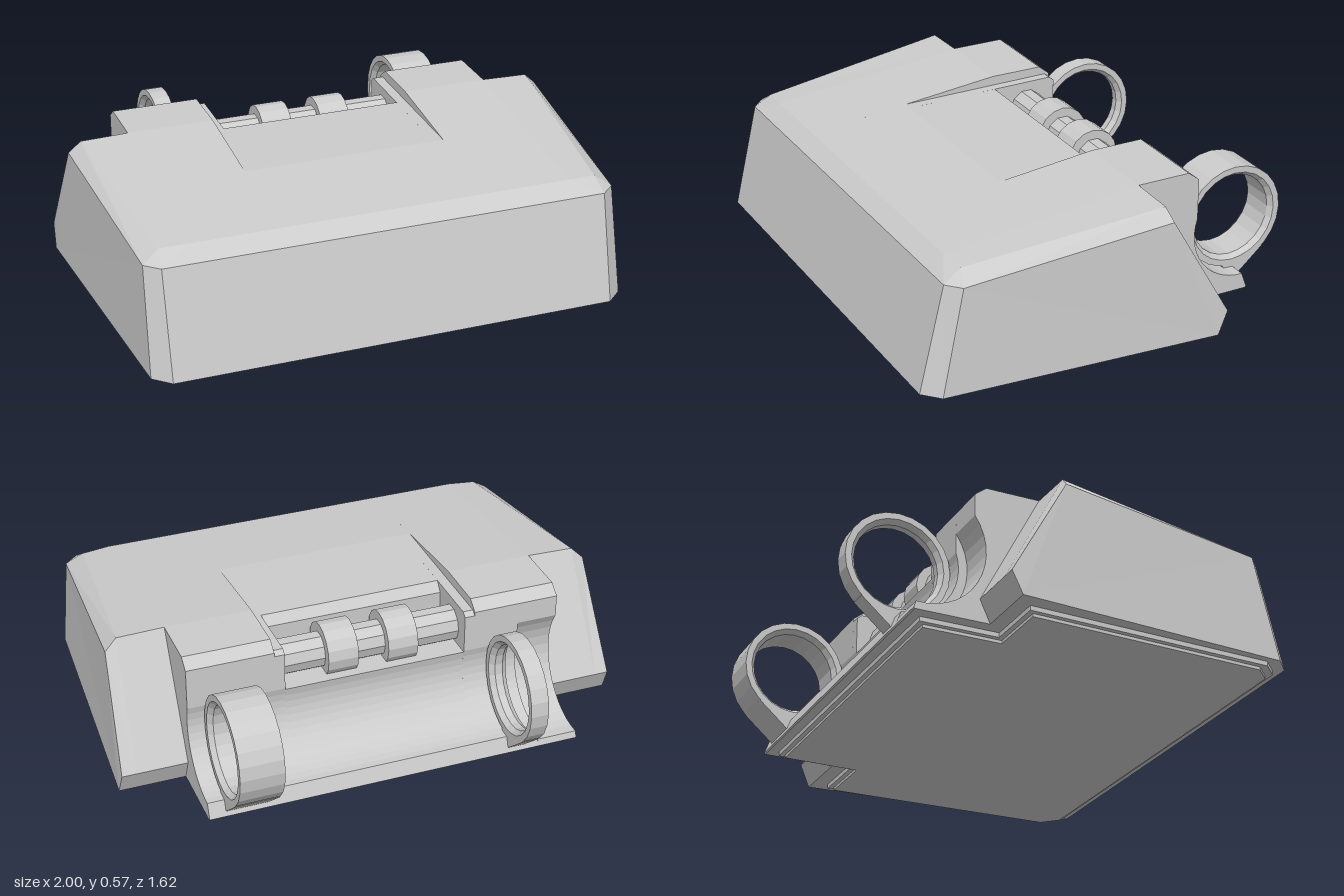
import * as THREE from 'three';

const RING = { y: 0.31, z: -0.605 };

export function createModel() {
  const model = new THREE.Group();
  const material = new THREE.MeshStandardMaterial({ color: 0xcccccc, flatShading: true });

  const add = (name, geometry) => {
    const mesh = new THREE.Mesh(geometry, material);
    mesh.name = name;
    model.add(mesh);
    return mesh;
  };

  // Extrudes a side profile of [z, y] points from x0 to x1
  const slab = (name, x0, x1, points) => {
    const shape = new THREE.Shape(points.map(([z, y]) => new THREE.Vector2(z, y)));
    const geometry = new THREE.ExtrudeGeometry(shape, { depth: x1 - x0, bevelEnabled: false });
    geometry.rotateY(-Math.PI / 2).translate(x1, 0, 0);
    return add(name, geometry);
  };

  // Concave rear cradle, from the top of the back wall down to the lip
  const cradle = (radius, startDeg, endDeg) => {
    const points = [];
    for (let i = 0; i <= 14; i++) {
      const a = THREE.MathUtils.degToRad(startDeg + (endDeg - startDeg) * i / 14);
      points.push([RING.z + radius * Math.cos(a), RING.y + radius * Math.sin(a)]);
    }
    return [...points, [-0.635, 0.035], [-0.63, 0.03]];
  };

  // Central body, as strips across the width
  const front = [[0.81, 0.03], [0.71, 0.44], [0.65, 0.49]];
  const fullTop = [[-0.14, 0.575], [-0.355, 0.575], [-0.4, 0.54]];
  const lowTop = [[0.25, 0.533], [-0.38, 0.54], [-0.4, 0.525]];
  const pocketTop = [[0.25, 0.533], [-0.13, 0.537], [-0.16, 0.5], [-0.16, 0.37], [-0.398, 0.37]];
  const normalCradle = cradle(0.215, 18, -92);
  const deepCradle = cradle(0.25, 35, -95);
  slab('rightEndBody', -0.74, -0.58, [...front, ...fullTop, ...deepCradle]);
  slab('rightBody', -0.58, -0.4, [...front, ...fullTop, ...normalCradle]);
  slab('rightPocketWall', -0.4, -0.36, [...front, ...lowTop, ...normalCradle]);
  slab('pocketBody', -0.36, 0.36, [...front, ...pocketTop, ...cradle(0.215, 15, -92)]);
  slab('leftPocketWall', 0.36, 0.4, [...front, ...lowTop, ...normalCradle]);
  slab('leftBody', 0.4, 0.74, [...front, ...fullTop, ...normalCradle]);

  // Tapered flanks with bevelled edges, lofted outwards
  const inner = [[0.74, 0.03, -0.34], [0.74, 0.12, -0.38], [0.74, 0.575, -0.14],
    [0.74, 0.49, 0.65], [0.74, 0.44, 0.71], [0.74, 0.03, 0.81]];
  const shoulder = [[0.94, 0.03, -0.34], [0.94, 0.12, -0.38], [0.925, 0.57, -0.14],
    [0.85, 0.485, 0.64], [0.86, 0.44, 0.71], [0.86, 0.03, 0.81]];
  const outer = [[1, 0.03, -0.34], [0.995, 0.12, -0.38], [0.972, 0.525, -0.15],
    [0.915, 0.44, 0.66], [0.915, 0.44, 0.66], [0.925, 0.03, 0.75]];
  const flank = (name, side) => {
    const positions = [];
    const triangle = (a, b, c) => {
      for (const p of side > 0 ? [a, b, c] : [a, c, b]) positions.push(p[0] * side, p[1], p[2]);
    };
    for (const [a, b] of [[inner, shoulder], [shoulder, outer]]) {
      for (let i = 0; i < 6; i++) {
        const j = (i + 1) % 6;
        triangle(a[i], a[j], b[j]);
        triangle(a[i], b[j], b[i]);
      }
    }
    for (let i = 1; i < 5; i++) triangle(outer[0], outer[i], outer[i + 1]);
    const geometry = new THREE.BufferGeometry();
    geometry.setAttribute('position', new THREE.Float32BufferAttribute(positions, 3));
    geometry.computeVertexNormals();
    add(name, geometry);
  };
  flank('leftFlank', 1);
  flank('rightFlank', -1);

  // Inset base plates, the lower one slightly smaller
  const basePlate = (name, inset, y, height) => {
    const half = [[0.84, 0.77], [0.9, 0.71], [0.935, -0.28], [0.69, -0.28], [0.69, -0.59]]
      .map(([x, z]) => [x - inset, z > 0 ? z - inset : z + inset]);
    const outline = [...half, ...half.map(([x, z]) => [-x, z]).reverse()];
    const shape = new THREE.Shape(outline.map(([x, z]) => new THREE.Vector2(x, -z)));
    const geometry = new THREE.ExtrudeGeometry(shape, { depth: height, bevelEnabled: false });
    geometry.rotateX(-Math.PI / 2).translate(0, y, 0);
    add(name, geometry);
  };
  basePlate('basePlateRim', 0, 0.012, 0.02);
  basePlate('basePlate', 0.02, 0, 0.02);

  // Hinge pin and its two collars
  const rod = (name, x, width, radius, sides) => {
    const geometry = new THREE.CylinderGeometry(radius, radius, width, sides);
    geometry.rotateZ(Math.PI / 2).translate(x, 0.435, -0.275);
    add(name, geometry);
  };
  rod('hingePin', 0, 0.72, 0.07, 10);
  for (const x of [-0.12, 0.12]) rod('hingeCollar', x, 0.12, 0.105, 16);

  // Rear rings with chamfered bores, each on a small gusset
  const ring = (name, x0, x1) => {
    const h = (x1 - x0) / 2;
    const profile = [[0.207, -h], [0.207, h], [0.182, h], [0.166, h - 0.02],
      [0.166, 0.02 - h], [0.182, -h], [0.207, -h]].map(([r, y]) => new THREE.Vector2(r, y));
    const geometry = new THREE.LatheGeometry(profile, 24);
    geometry.rotateZ(Math.PI / 2).translate((x0 + x1) / 2, RING.y, RING.z);
    add(name, geometry);
    slab(name + 'Gusset', x0, x1,
      [[-0.56, 0.12], [-0.6, 0.04], [-0.63, 0.055], [-0.745, 0.155], [-0.72, 0.16], [-0.61, 0.12]]);
  };
  ring('rightRing', -0.525, -0.455);
  ring('leftRing', 0.505, 0.675);

  return model;
}
